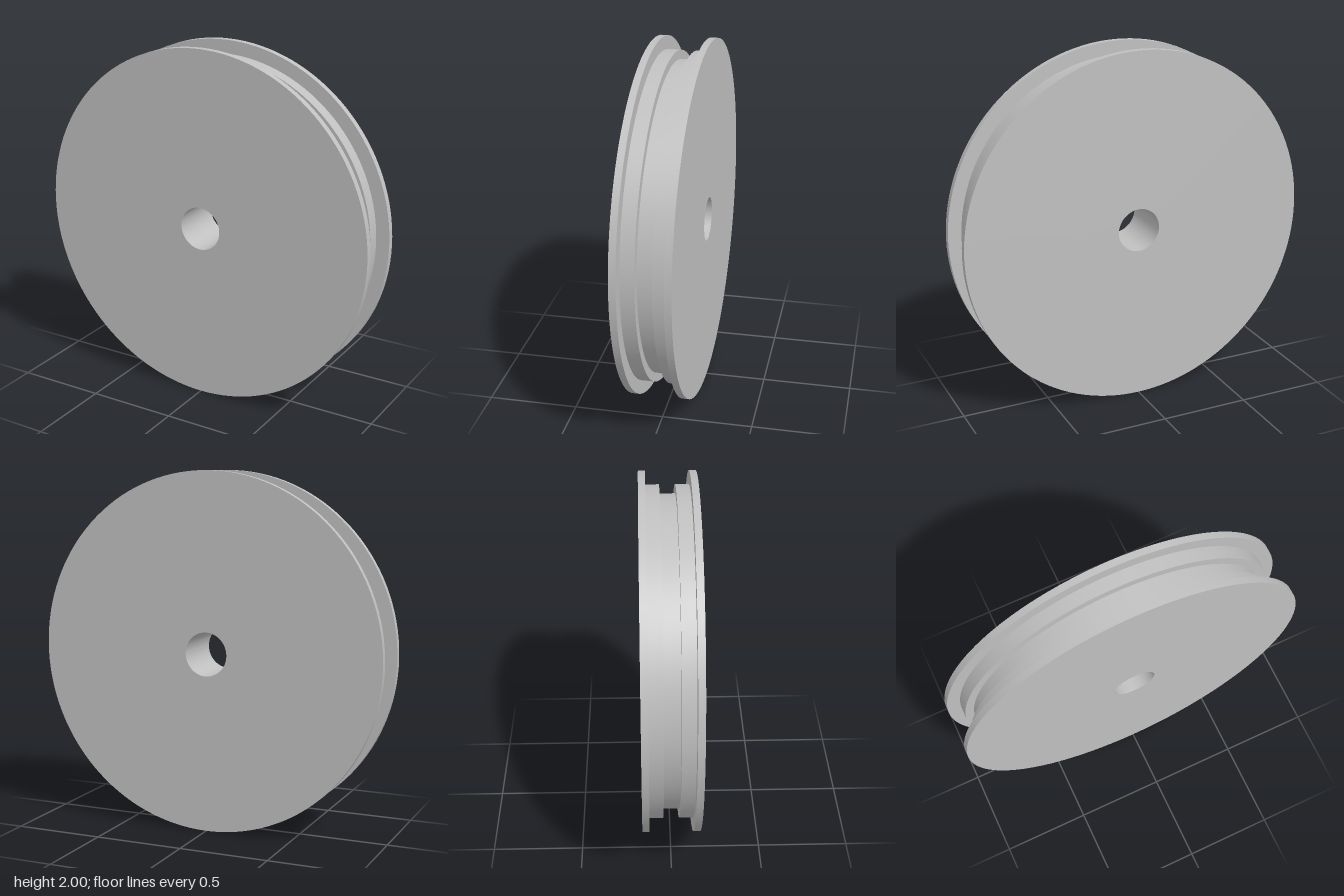
import * as THREE from 'three';
import { toCreasedNormals } from 'three/addons/utils/BufferGeometryUtils.js';

const RIM = 1, SHOULDER = 0.925, GROOVE = 0.875, BORE = 0.122;
const HALF_WIDTH = 0.158, FLANGE_INNER = 0.12, GROOVE_HALF = 0.044;

export function createModel() {
  const group = new THREE.Group();
  group.name = 'pulleyWheel';

  const metal = new THREE.MeshStandardMaterial({ color: 0xc0c0c0 });
  metal.name = 'light grey';

  // Half of the stepped rim: [radius, distance from the middle], face to groove
  const half = [
    [BORE, HALF_WIDTH], [RIM, HALF_WIDTH], [RIM, FLANGE_INNER],
    [SHOULDER, FLANGE_INNER], [SHOULDER, GROOVE_HALF], [GROOVE, GROOVE_HALF],
  ];

  // Mirror it, then close the loop through the bore
  const profile = [
    ...half.map(([r, d]) => new THREE.Vector2(r, -d)),
    ...half.slice().reverse().map(([r, d]) => new THREE.Vector2(r, d)),
    new THREE.Vector2(BORE, -HALF_WIDTH),
  ];

  // Flanges, stepped groove and bore turned as one solid, axle along z
  const geometry = toCreasedNormals(new THREE.LatheGeometry(profile, 128), Math.PI / 6);
  geometry.rotateX(Math.PI / 2);
  const wheel = new THREE.Mesh(geometry, metal);
  wheel.name = 'groovedWheel';
  wheel.position.y = RIM;
  group.add(wheel);

  return group;
}
